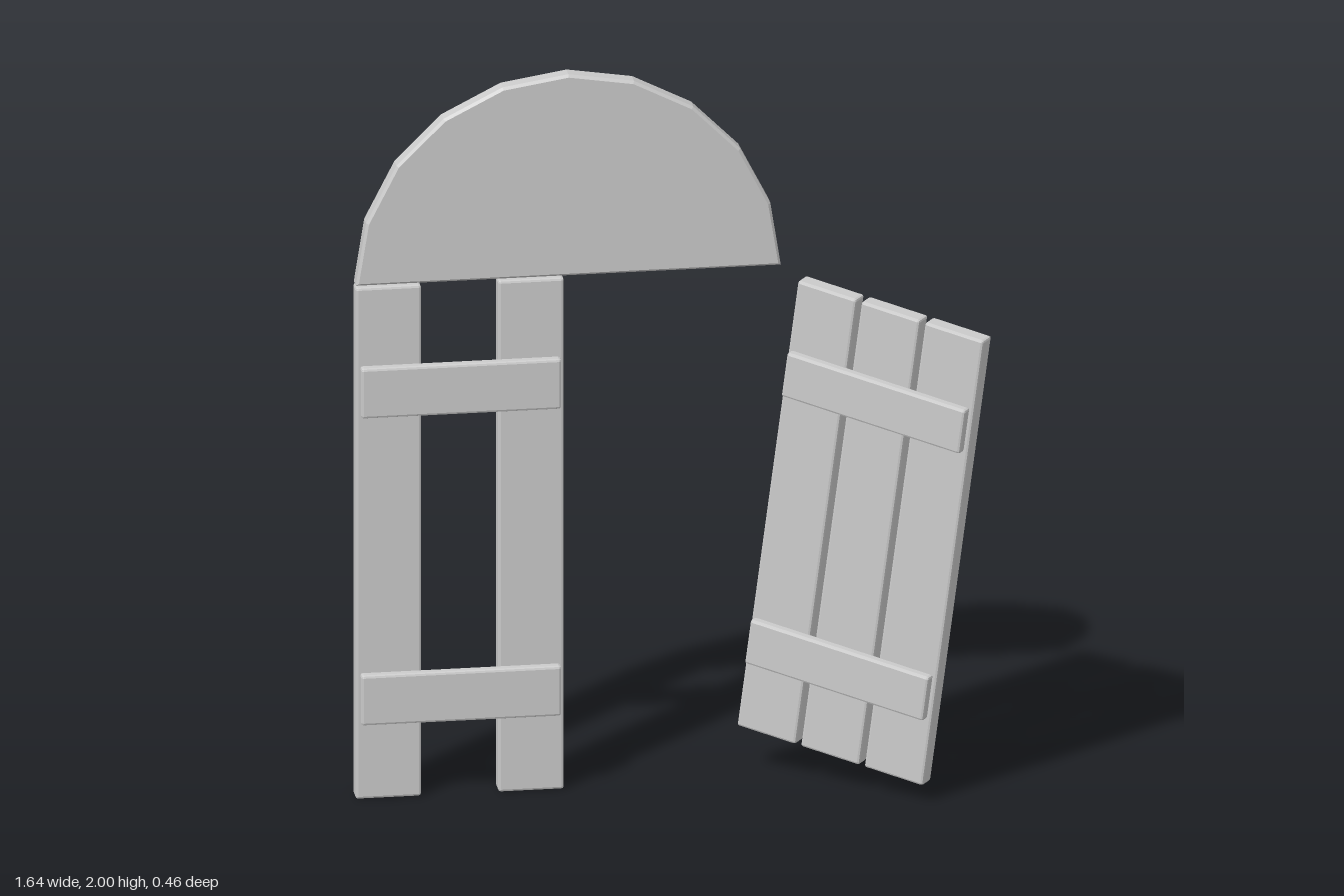
import * as THREE from 'three';
import { RoundedBoxGeometry } from 'three/addons/geometries/RoundedBoxGeometry.js';

const material = new THREE.MeshStandardMaterial({ color: 0xcccccc, flatShading: true });

const PLANK = { width: 0.174, height: 1.432, depth: 0.05 };
const PLANK_STEP = 0.189;
const CLEAT = { width: 0.53, height: 0.14, depth: 0.031 };
const BEVEL = 0.007;

// Board with chamfered edges
function board(name, { width, height, depth }, x, y, z) {
  const geometry = new RoundedBoxGeometry(width, height, depth, 1, BEVEL);
  const mesh = new THREE.Mesh(geometry, material);
  mesh.name = name;
  mesh.position.set(x, y, z);
  return mesh;
}

// Shutter leaf centred on its planks: the given plank slots plus two cleats in front
function shutter(name, slots) {
  const group = new THREE.Group();
  group.name = name;
  for (const slot of slots) group.add(board('plank', PLANK, slot * PLANK_STEP, 0, 0));
  for (const side of [-1, 1]) {
    group.add(board('cleat', CLEAT, 0, side * 0.43, (PLANK.depth + CLEAT.depth) / 2));
  }
  return group;
}

// Faceted half-round panel with chamfered rim
function archPanel(radius, depth, segments) {
  const points = [];
  for (let i = 0; i <= segments; i++) {
    const a = (i / segments) * Math.PI;
    points.push(new THREE.Vector2(radius * Math.cos(a), radius * Math.sin(a)));
  }
  const geometry = new THREE.ExtrudeGeometry(new THREE.Shape(points), {
    depth: depth - 2 * BEVEL,
    bevelEnabled: true,
    bevelSegments: 1,
    bevelThickness: BEVEL,
    bevelSize: BEVEL,
    bevelOffset: -BEVEL,
  });
  geometry.translate(0, 0, BEVEL - depth / 2);
  const mesh = new THREE.Mesh(geometry, material);
  mesh.name = 'archPanel';
  return mesh;
}

export function createModel() {
  const model = new THREE.Group();
  model.name = 'brokenShutters';

  // Upright leaf with its middle plank missing
  const upright = shutter('uprightShutter', [-1, 1]);
  upright.position.set(-0.545, PLANK.height / 2, -0.145);
  model.add(upright);

  // Complete leaf, shorter, swung open and hanging askew
  const hanging = shutter('hangingShutter', [-1, 0, 1]);
  hanging.scale.y = 0.9;
  hanging.rotation.set(0, THREE.MathUtils.degToRad(-35.1), THREE.MathUtils.degToRad(-8));
  hanging.position.set(0.51, 0.725, -0.007);
  model.add(hanging);

  // Half-round panel above the opening
  const arch = archPanel(0.563, PLANK.depth, 10);
  arch.position.set(-0.257, 1.437, -0.145);
  model.add(arch);

  return model;
}
